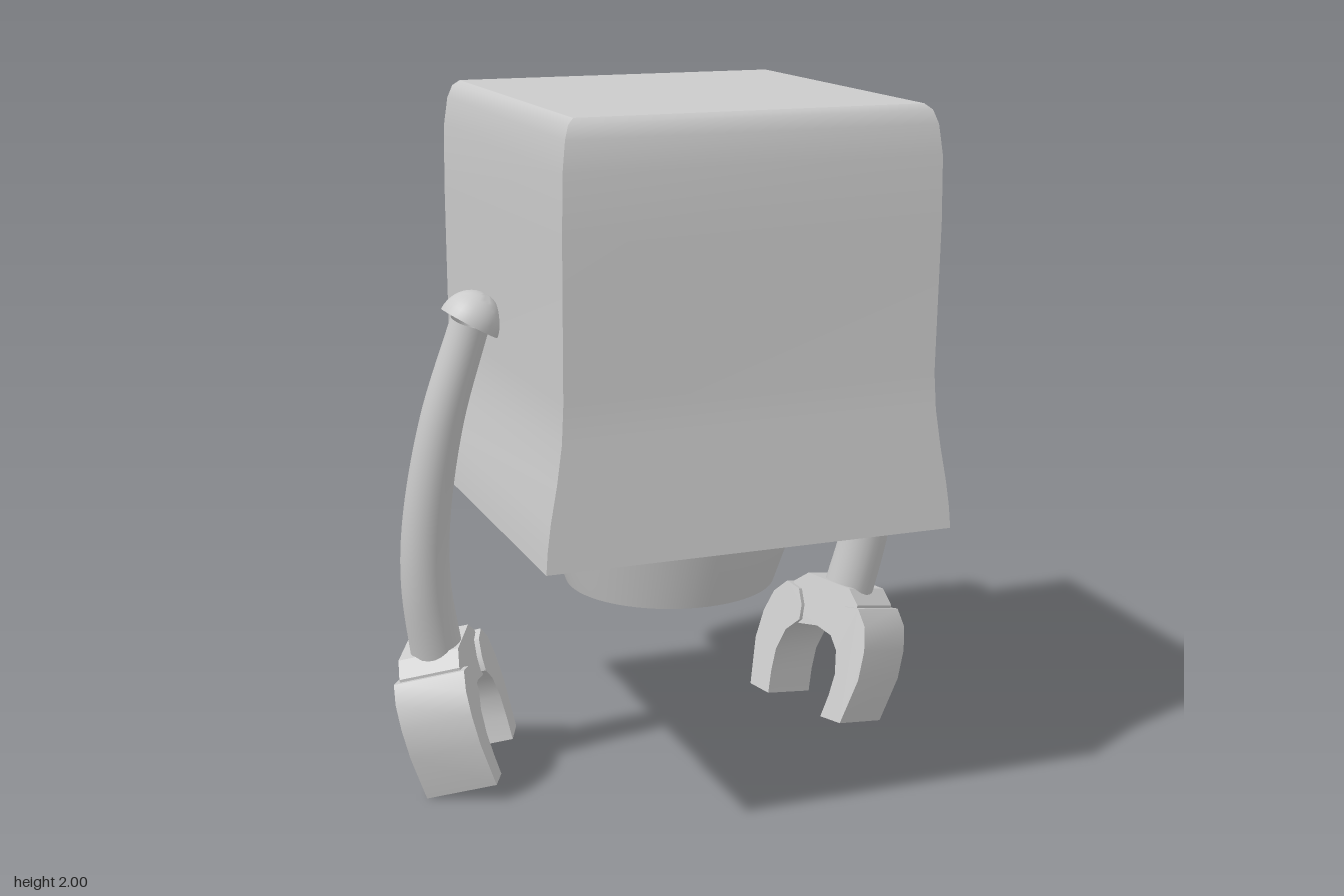
import * as THREE from 'three';
import { toCreasedNormals } from 'three/addons/utils/BufferGeometryUtils.js';

const grey = new THREE.MeshStandardMaterial({ color: 0xcccccc, side: THREE.DoubleSide });
const lensColor = new THREE.MeshStandardMaterial({ color: 0xe986d6 });

function part(name, geometry, material = grey) {
  const mesh = new THREE.Mesh(geometry, material);
  mesh.name = name;
  return mesh;
}

function lathe(points, segments = 64) {
  const profile = points.map(([r, y]) => new THREE.Vector2(r, y));
  return toCreasedNormals(new THREE.LatheGeometry(profile, segments), 0.5);
}

// Boxy shell from rectangular sections; sharp upright edges, smooth from section to section
function bodyGeometry() {
  // y, half width, front z, back z
  const rows = [
    [0.87, 0.567, 0.645, -0.592], [0.93, 0.562, 0.643, -0.582], [1.0, 0.552, 0.64, -0.555],
    [1.1, 0.533, 0.637, -0.505], [1.2, 0.518, 0.633, -0.468], [1.3, 0.512, 0.63, -0.45],
    [1.7, 0.513, 0.64, -0.45], [1.87, 0.51, 0.64, -0.45], [1.95, 0.5, 0.632, -0.442],
    [1.985, 0.488, 0.62, -0.43], [2.0, 0.47, 0.605, -0.415],
  ];
  const corners = ([y, w, f, b]) => [[-w, y, f], [w, y, f], [w, y, b], [-w, y, b]];
  const positions = [], index = [];
  for (let side = 0; side < 4; side++) {
    const start = positions.length / 3;
    rows.forEach((row, i) => {
      const c = corners(row);
      positions.push(...c[side], ...c[(side + 1) % 4]);
      const k = start + i * 2;
      if (i < rows.length - 1) index.push(k, k + 1, k + 3, k, k + 3, k + 2);
    });
  }
  // top and bottom caps
  const t = positions.length / 3;
  positions.push(...corners(rows[rows.length - 1]).flat(), ...corners(rows[0]).flat());
  index.push(t, t + 1, t + 2, t, t + 2, t + 3, t + 4, t + 6, t + 5, t + 4, t + 7, t + 6);
  const g = new THREE.BufferGeometry();
  g.setAttribute('position', new THREE.Float32BufferAttribute(positions, 3));
  g.setIndex(index);
  g.computeVertexNormals();
  return g;
}

// Tilted ring with a recessed lens
function createEye() {
  const eye = new THREE.Group();
  eye.name = 'eye';
  eye.add(part('eyeRing', lathe([
    [0.465, -0.25], [0.465, -0.02], [0.45, 0], [0.425, 0], [0.4, -0.06],
  ])));
  const lens = part('lens', new THREE.CircleGeometry(0.405, 64).rotateX(-Math.PI / 2), lensColor);
  lens.position.y = -0.055;
  eye.add(lens);
  eye.position.set(-0.007, 1.438, -0.615);
  eye.quaternion.setFromUnitVectors(
    new THREE.Vector3(0, 1, 0), new THREE.Vector3(0, 0.059, -0.998).normalize());
  return eye;
}

// Curved tube that widens towards the wrist
function armGeometry() {
  const path = new THREE.CatmullRomCurve3([
    [0.575, 1.43, 0.035], [0.65, 1.15, -0.01], [0.688, 0.85, -0.065],
    [0.685, 0.65, -0.1], [0.645, 0.41, -0.145],
  ].map((p) => new THREE.Vector3(...p)));
  const steps = 32, sides = 24;
  const g = new THREE.TubeGeometry(path, steps, 1, sides);
  const pos = g.attributes.position, v = new THREE.Vector3();
  for (let i = 0; i < pos.count; i++) {
    const u = Math.floor(i / (sides + 1)) / steps;
    const centre = path.getPointAt(u);
    v.fromBufferAttribute(pos, i).sub(centre).multiplyScalar(0.054 + 0.022 * u).add(centre);
    pos.setXYZ(i, v.x, v.y, v.z);
  }
  return g;
}

// Side outline (z, y) extruded across x
function slab(outline, width) {
  const shape = new THREE.Shape(outline.map(([z, y]) => new THREE.Vector2(z, y)));
  const g = new THREE.ExtrudeGeometry(shape, { depth: width, bevelEnabled: false });
  g.translate(0, 0, -width / 2).rotateY(-Math.PI / 2);
  return toCreasedNormals(g, 0.6);
}

// Wrist block with two opposed claws
function createHand() {
  const hand = new THREE.Group();
  hand.name = 'hand';
  hand.add(part('wrist', slab([
    [-0.08, 0.03], [-0.125, -0.01], [-0.125, -0.08], [-0.07, -0.13], [0, -0.115],
    [0.07, -0.13], [0.125, -0.08], [0.125, -0.01], [0.08, 0.03],
  ], 0.18)));
  const claw = [
    [0.065, -0.07], [0.09, -0.025], [0.14, -0.015], [0.18, -0.06], [0.2, -0.13],
    [0.205, -0.22], [0.18, -0.365], [0.105, -0.37], [0.115, -0.3], [0.118, -0.23],
    [0.1, -0.16], [0.06, -0.115],
  ];
  for (const s of [1, -1]) {
    const outline = claw.map(([z, y]) => [z * s, y]);
    hand.add(part(s > 0 ? 'frontClaw' : 'backClaw', slab(outline, 0.21)));
  }
  const up = new THREE.Vector3(0.26, 0.95, -0.03).normalize();
  const front = new THREE.Vector3(0.455, 0, 0.886).addScaledVector(up, -0.092).normalize();
  const across = new THREE.Vector3().crossVectors(up, front).normalize();
  hand.quaternion.setFromRotationMatrix(new THREE.Matrix4().makeBasis(across, up, front));
  hand.position.set(0.645, 0.425, -0.162);
  return hand;
}

function createArm(name) {
  const arm = new THREE.Group();
  arm.name = name;
  const shoulder = part('shoulder', lathe(
    [[0, 0], [0.085, 0], ...Array.from({ length: 11 }, (_, i) => {
      const a = (i + 1) * Math.PI / 22;
      return [0.085 * Math.cos(a), 0.092 * Math.sin(a)];
    })], 32));
  shoulder.position.set(0.578, 1.425, 0.035);
  shoulder.quaternion.setFromUnitVectors(
    new THREE.Vector3(0, 1, 0), new THREE.Vector3(-0.5, 0.86, 0).normalize());
  arm.add(shoulder, part('armTube', armGeometry()), createHand());
  return arm;
}

export function createModel() {
  const model = new THREE.Group();
  model.name = 'robot';

  // head-shaped body and its hollow tapered base
  model.add(part('body', bodyGeometry()));
  const base = part('base', lathe([
    [0.39, 0.88], [0.382, 0.85], [0.3, 0.61], [0.285, 0.61], [0.37, 0.868],
  ]));
  base.position.z = 0.02;
  model.add(base, createEye());

  // arms, the right one mirrored and hung slightly lower
  const rightArm = createArm('rightArm');
  rightArm.scale.x = -1;
  rightArm.position.set(-0.005, -0.03, 0);
  model.add(createArm('leftArm'), rightArm);
  return model;
}
